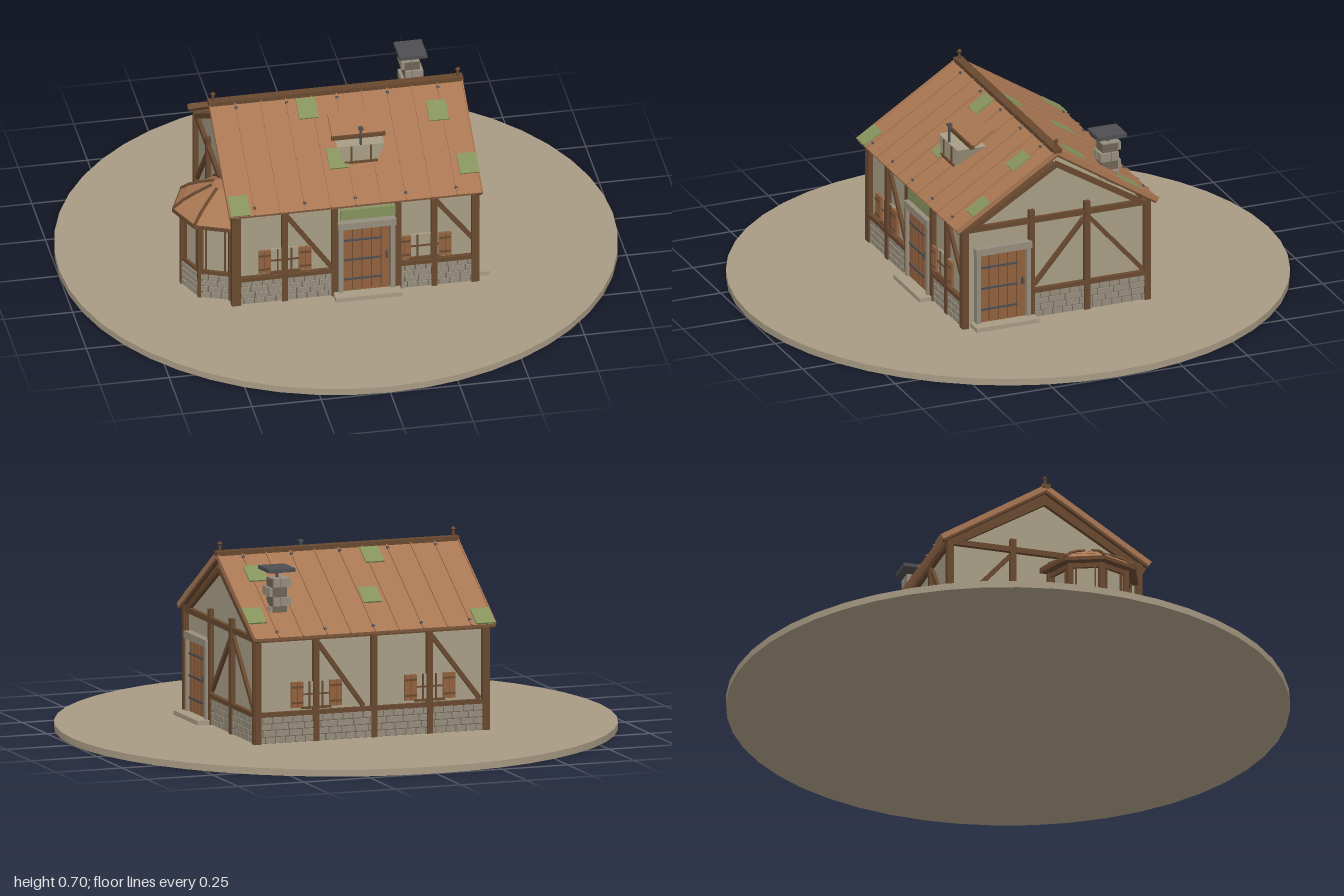
import * as THREE from 'three';

const mat = (name, color) => Object.assign(new THREE.MeshStandardMaterial({ color }), { name });
const M = {
  ground: mat('ground', 0xa89b84),
  plaster: mat('plaster', 0xa89d86),
  roof: mat('roofBoards', 0xa87652),
  timber: mat('timber', 0x68482f),
  plank: mat('planks', 0x92613e),
  moss: mat('moss', 0x85925c),
  iron: mat('iron', 0x4e4e52),
  stone: mat('stone', 0x968d7c),
  mortar: mat('mortar', 0x6e6455),
};

function add(parent, name, geo, material, x = 0, y = 0, z = 0) {
  const m = new THREE.Mesh(geo, material);
  m.name = name;
  m.position.set(x, y, z);
  parent.add(m);
  return m;
}
const box = (p, name, material, w, h, d, x, y, z) =>
  add(p, name, new THREE.BoxGeometry(w, h, d), material, x, y, z);

function group(parent, name, x = 0, y = 0, z = 0) {
  const g = new THREE.Group();
  g.name = name;
  g.position.set(x, y, z);
  parent.add(g);
  return g;
}

// Straight timber between two points
function beam(p, name, a, b, w, d, material = M.timber) {
  const A = new THREE.Vector3(...a), B = new THREE.Vector3(...b);
  const m = box(p, name, material, w, A.distanceTo(B), d, 0, 0, 0);
  m.position.copy(A).add(B).multiplyScalar(0.5);
  m.quaternion.setFromUnitVectors(new THREE.Vector3(0, 1, 0), B.sub(A).normalize());
  return m;
}

// Half octagon ring with flat facets, bulging towards -x
function halfOct(p, name, material, rTop, rBot, y0, y1) {
  const g = new THREE.CylinderGeometry(rTop, rBot, y1 - y0, 4, 1, false, Math.PI, Math.PI).toNonIndexed();
  g.computeVertexNormals();
  return add(p, name, g, material, 0, (y0 + y1) / 2, 0);
}

// Courses of staggered stones over a mortar backing, from u0 to u1 along a wall
function stoneBase(p, u0, u1) {
  const g = group(p, 'stoneBase');
  const len = u1 - u0, rows = 4, h = 0.024;
  box(g, 'mortar', M.mortar, len, rows * h, 0.008, (u0 + u1) / 2, 0.025 + rows * h / 2, 0.003);
  for (let r = 0; r < rows; r++) {
    let u = u0, i = 0;
    while (u < u1 - 0.005) {
      const w = Math.min(i === 0 && r % 2 ? 0.028 : 0.05 + 0.012 * ((i * 3 + r) % 3 - 1), u1 - u);
      box(g, 'stone', M.stone, w - 0.004, h - 0.004, 0.012, u + w / 2, 0.025 + (r + 0.5) * h, 0.006);
      u += w; i++;
    }
  }
}

// Plank door with stone surround, strap hinges and handle
function door(p, u, w) {
  const g = group(p, 'door', u, 0, 0);
  const n = 5, pw = w / n;
  box(g, 'doorBacking', M.timber, w, 0.26, 0.012, 0, 0.165, 0.004);
  for (let i = 0; i < n; i++)
    box(g, 'doorPlank', M.plank, pw - 0.004, 0.255, 0.01, (i - 2) * pw, 0.167, 0.01);
  for (const s of [-1, 1]) box(g, 'doorJamb', M.stone, 0.016, 0.3, 0.03, s * (w / 2 + 0.009), 0.175, 0.01);
  box(g, 'doorLintel', M.stone, w + 0.04, 0.026, 0.034, 0, 0.314, 0.011);
  for (const y of [0.09, 0.17, 0.25]) box(g, 'strapHinge', M.iron, w * 0.8, 0.008, 0.004, -w * 0.08, y, 0.016);
  box(g, 'handle', M.iron, 0.008, 0.025, 0.012, w * 0.42, 0.18, 0.02);
  box(g, 'step', M.ground, 0.24, 0.018, 0.06, 0, 0.032, 0.032);
}

// Small window with cross bars and plank shutters
function shutteredWindow(p, u) {
  const g = group(p, 'window', u, 0.195, 0);
  box(g, 'windowPane', M.plaster, 0.1, 0.09, 0.008, 0, 0, 0.004);
  box(g, 'windowSill', M.timber, 0.11, 0.008, 0.02, 0, -0.048, 0.008);
  box(g, 'windowBar', M.timber, 0.1, 0.006, 0.008, 0, 0, 0.008);
  for (const s of [-1, 1]) {
    box(g, 'windowBar', M.timber, 0.006, 0.09, 0.008, s * 0.025, 0, 0.008);
    for (const k of [-0.5, 0.5])
      box(g, 'shutterPlank', M.plank, 0.021, 0.092, 0.01, s * 0.073 + k * 0.023, 0, 0.012);
    for (const y of [-0.028, 0.028]) box(g, 'shutterBatten', M.timber, 0.042, 0.007, 0.004, s * 0.073, y, 0.019);
  }
}

// Half-timbered face; u runs along the wall and z points outwards
function facade(house, name, angle, dist, half, { posts, braces, bases }) {
  const g = group(house, name, Math.sin(angle) * dist, 0, Math.cos(angle) * dist);
  g.rotation.y = angle;
  for (const [u, top = 0.41] of posts) box(g, 'post', M.timber, 0.022, top - 0.025, 0.026, u, (top + 0.025) / 2, 0.004);
  box(g, 'topBeam', M.timber, half * 2, 0.02, 0.022, 0, 0.4, 0.004);
  for (const [a, b, c, d] of braces) beam(g, 'brace', [a, b, 0.004], [c, d, 0.004], 0.016, 0.016);
  for (const [u0, u1] of bases) {
    stoneBase(g, u0, u1);
    box(g, 'sillBeam', M.timber, u1 - u0, 0.016, 0.026, (u0 + u1) / 2, 0.129, 0.004);
  }
  return g;
}

function buildRoof(house) {
  const roof = group(house, 'roof', -0.0025, 0, 0);
  const a = Math.atan2(0.245, 0.385), len = 0.456, W = 0.915;
  const moss = [[-0.42, 0.35], [-0.04, 0.225], [-0.115, 0.05], [0.345, 0.1], [0.42, 0.285]];
  for (const s of [1, -1]) {
    const g = group(roof, 'roofSlope', 0, 0.527, s * 0.1925);
    g.rotation.x = s * a;
    box(g, 'roofBoards', M.roof, W, 0.014, len, 0, 0, 0);
    for (let i = 0; i <= 10; i++) {
      const x = -W / 2 + 0.002 + i * (W - 0.004) / 10;
      box(g, 'roofSeam', M.roof, 0.004, 0.006, len, x, 0.009, 0);
      if (i % 2) for (const z of [-0.2, 0.2]) box(g, 'roofNail', M.iron, 0.01, 0.008, 0.008, x, 0.009, s * z);
    }
    for (const [x, z] of moss)
      box(g, 'mossPatch', M.moss, 0.07, 0.006, 0.08, x + 0.0025, 0.0105, s * (z - 0.1925) / Math.cos(a));
    for (const x of [-0.445, 0.445]) box(g, 'bargeBoard', M.timber, 0.016, 0.008, len, x, -0.01, 0);
  }
  box(roof, 'ridgeBeam', M.timber, W + 0.004, 0.016, 0.032, 0, 0.656, 0);
  for (const x of [-0.442, 0.442]) {
    add(roof, 'finialRod', new THREE.CylinderGeometry(0.005, 0.006, 0.035, 6), M.timber, x, 0.675, 0);
    add(roof, 'finialKnob', new THREE.OctahedronGeometry(0.011), M.timber, x, 0.69, 0);
  }
}

function buildBay(house) {
  const bay = group(house, 'bay', -0.44, 0, 0.165);
  halfOct(bay, 'bayWall', M.plaster, 0.143, 0.143, 0.025, 0.33);
  halfOct(bay, 'baySill', M.timber, 0.154, 0.154, 0.122, 0.136);
  halfOct(bay, 'bayTopRail', M.timber, 0.154, 0.154, 0.305, 0.322);
  halfOct(bay, 'bayEave', M.timber, 0.184, 0.184, 0.322, 0.336);
  const at = (r, t, y) => [r * Math.sin(t), y, r * Math.cos(t)];
  const tiers = [[0.18, 0.14, 0.336, 0.366], [0.15, 0.095, 0.361, 0.391], [0.105, 0.04, 0.386, 0.416]];
  for (const [r0, r1, y0, y1] of tiers) halfOct(bay, 'bayRoofTier', M.roof, r1, r0, y0, y1);
  for (let i = 0; i <= 4; i++) {
    const t = Math.PI * (1 + i / 4);
    beam(bay, 'bayPost', at(0.146, t, 0.025), at(0.146, t, 0.325), 0.02, 0.02);
    for (const [r0, r1, y0, y1] of tiers) beam(bay, 'bayHip', at(r0, t, y0 + 0.002), at(r1, t, y1 + 0.002), 0.009, 0.009);
    if (i === 4) continue;
    // stones around the foot of each facet
    const m = t + Math.PI / 8, f = group(bay, 'bayBase', ...at(0.132, m, 0));
    f.rotation.y = m;
    stoneBase(f, -0.053, 0.053);
    for (const u of [-0.034, 0.034]) box(f, 'bayWindowFrame', M.timber, 0.006, 0.17, 0.008, u, 0.22, 0.003);
  }
}

function buildDormer(house) {
  const d = group(house, 'dormer', 0.042, 0, 0);
  // wedge-shaped body, narrower at the foot
  const s = new THREE.Shape([[-0.06, 0.5], [0.06, 0.5], [0.085, 0.57], [-0.085, 0.57]].map(p => new THREE.Vector2(...p)));
  add(d, 'dormerBody', new THREE.ExtrudeGeometry(s, { depth: 0.11, bevelEnabled: false }), M.plaster, 0, 0, 0.138);
  box(d, 'dormerSill', M.timber, 0.12, 0.008, 0.012, 0, 0.504, 0.248);
  for (const x of [-0.035, 0.035]) box(d, 'dormerBar', M.timber, 0.007, 0.06, 0.006, x, 0.538, 0.249);
  beam(d, 'dormerRoof', [0, 0.576, 0.197], [0, 0.628, 0.112], 0.19, 0.012, M.roof);
  box(d, 'dormerEave', M.timber, 0.195, 0.014, 0.014, 0, 0.578, 0.195);
  box(d, 'dormerRod', M.iron, 0.007, 0.07, 0.007, 0, 0.603, 0.243);
  box(d, 'dormerRodCap', M.iron, 0.016, 0.008, 0.016, 0, 0.637, 0.243);
}

function buildChimney(house) {
  const c = group(house, 'chimney', 0.318, 0, -0.248);
  box(c, 'chimneyCore', M.mortar, 0.056, 0.17, 0.06, 0, 0.515, 0);
  for (let r = 0; r < 5; r++) for (const sx of [-1, 1]) for (const sz of [-1, 1]) {
    const k = r % 2 ? 0.006 : -0.006;
    box(c, 'chimneyStone', M.stone, 0.031 + sx * k, 0.031, 0.033 + sz * k,
      sx * 0.017 + k / 2, 0.452 + r * 0.034, sz * 0.018 + k / 2);
  }
  box(c, 'chimneyPin', M.iron, 0.008, 0.035, 0.008, 0, 0.616, 0);
  box(c, 'chimneyCap', M.iron, 0.1, 0.013, 0.11, 0, 0.634, 0);
}

export function createModel() {
  const root = new THREE.Group();
  root.name = 'cottage';
  add(root, 'groundDisc', new THREE.CylinderGeometry(1, 1, 0.025, 48), M.ground, 0, 0.0125, 0);

  // Plastered core with gables
  const shape = new THREE.Shape([[-0.345, 0.025], [0.345, 0.025], [0.345, 0.395], [0, 0.6], [-0.345, 0.395]]
    .map(p => new THREE.Vector2(...p)));
  const core = add(root, 'plasterWalls', new THREE.ExtrudeGeometry(shape, { depth: 0.86, bevelEnabled: false }), M.plaster, -0.43);
  core.rotation.y = Math.PI / 2;

  // Four timbered faces
  const front = facade(root, 'frontWall', 0, 0.345, 0.44, {
    posts: [[-0.425], [-0.255], [-0.075], [0.155], [0.285], [0.43]],
    braces: [[-0.25, 0.375, -0.085, 0.14], [0.29, 0.375, 0.425, 0.2]],
    bases: [[-0.44, -0.07], [0.15, 0.44]],
  });
  door(front, 0.04, 0.17);
  box(front, 'doorPlaque', M.moss, 0.2, 0.04, 0.012, 0.045, 0.355, 0.01);
  for (const u of [-0.255, 0.25]) shutteredWindow(front, u);

  const side = facade(root, 'leftWall', Math.PI / 2, 0.43, 0.355, {
    posts: [[-0.35], [-0.095, 0.44], [0.118, 0.44], [0.35]],
    braces: [[-0.085, 0.15, 0.108, 0.375], [0.128, 0.375, 0.335, 0.14]],
    bases: [[-0.09, 0.355]],
  });
  door(side, -0.207, 0.175);

  const back = facade(root, 'backWall', Math.PI, 0.345, 0.44, {
    posts: [[-0.43], [-0.21], [0.01], [0.22], [0.43]],
    braces: [[-0.2, 0.375, -0.03, 0.14], [0.23, 0.375, 0.41, 0.14]],
    bases: [[-0.44, 0.44]],
  });
  for (const u of [-0.21, 0.22]) shutteredWindow(back, u);

  facade(root, 'rightWall', -Math.PI / 2, 0.43, 0.355, {
    posts: [[-0.35], [-0.118, 0.44], [0.35]],
    braces: [[-0.128, 0.375, -0.335, 0.14]],
    bases: [[-0.355, 0.02]],
  });

  // Gable rafters
  for (const x of [-0.434, 0.434]) for (const s of [-1, 1])
    beam(root, 'gableRafter', [x, 0.6, 0], [x, 0.4, s * 0.33], 0.024, 0.018);

  buildRoof(root);
  buildBay(root);
  buildDormer(root);
  buildChimney(root);
  return root;
}
